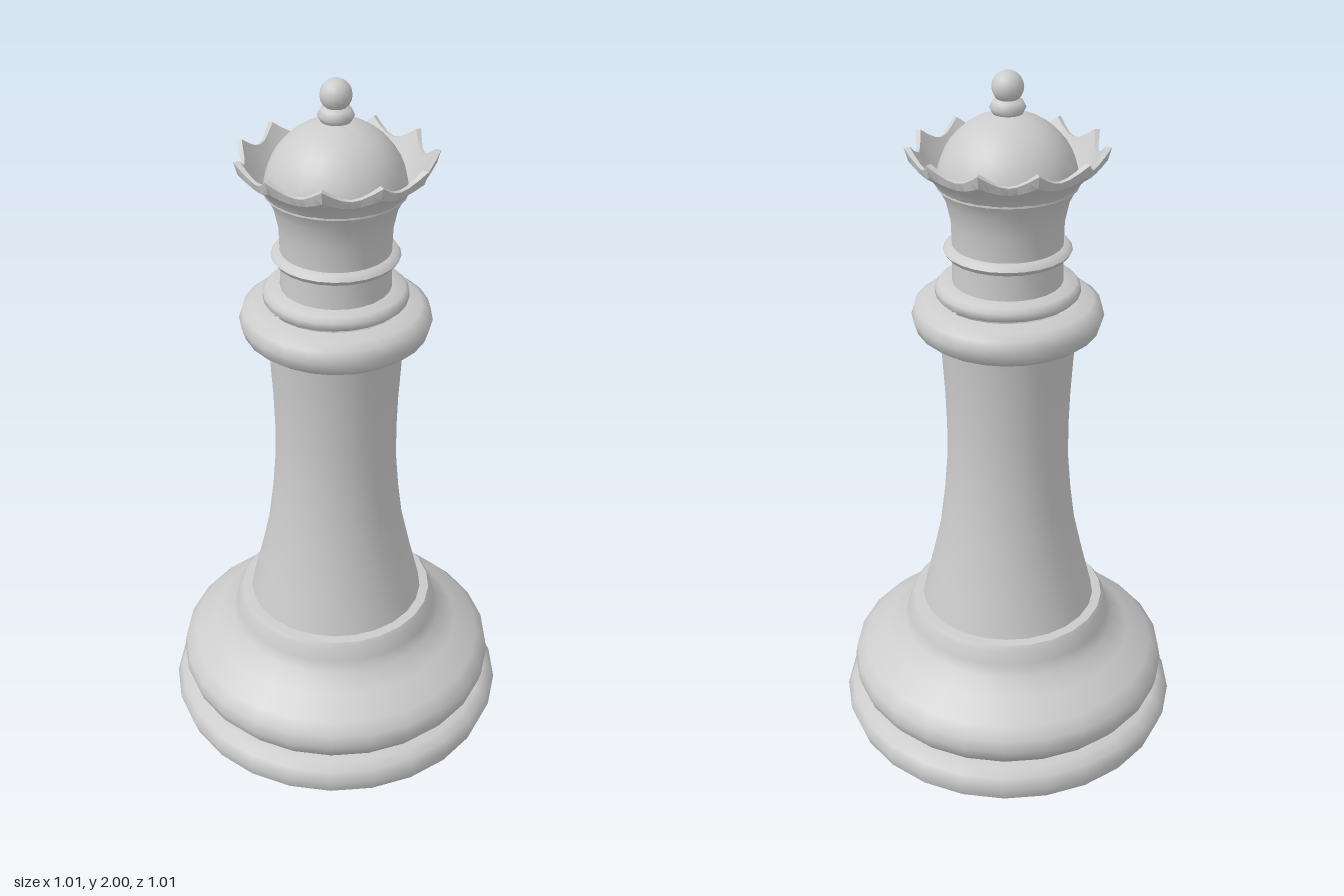
import * as THREE from 'three';
import { toCreasedNormals } from 'three/addons/utils/BufferGeometryUtils.js';

const SIDES = 25;
const material = new THREE.MeshStandardMaterial({ color: 0xcccccc, side: THREE.DoubleSide });

// Turned part: [radius, height] pairs from bottom to top
function turned(name, profile, crease = 0.65, sides = SIDES) {
  const points = profile.map(([r, y]) => new THREE.Vector2(r, y));
  const lathe = new THREE.LatheGeometry(points, sides, THREE.MathUtils.degToRad(94.3));
  const mesh = new THREE.Mesh(toCreasedNormals(lathe, crease), material);
  mesh.name = name;
  return mesh;
}

// Flared crown whose rim dips in rounded scallops between pointed tips
function crown(points = 11, steps = 6) {
  // [radius, height, radius drop, height drop] where the drops apply mid-scallop
  const rows = [
    [0.15, 1.53, 0, 0], [0.152, 1.6, 0, 0], [0.165, 1.66, 0, 0], [0.19, 1.71, 0, 0],
    [0.222, 1.745, 0.005, 0.005], [0.26, 1.775, 0.023, 0.022],
    [0.27, 1.81, 0.027, 0.036], [0.254, 1.812, 0.02, 0.036],
    [0.225, 1.76, 0.004, 0.01], [0.185, 1.7, 0, 0],
  ];
  const geometry = new THREE.LatheGeometry(
    rows.map(([r, y]) => new THREE.Vector2(r, y)), points * steps, Math.PI / 2);
  const pos = geometry.attributes.position;
  for (let i = 0; i < pos.count; i++) {
    const [r, y, dr, dy] = rows[i % rows.length];
    const angle = Math.atan2(pos.getZ(i), pos.getX(i));
    const dip = Math.abs(Math.sin(angle * points / 2));
    const radius = r - dr * dip;
    pos.setXYZ(i, radius * Math.cos(angle), y - dy * dip, radius * Math.sin(angle));
  }
  const mesh = new THREE.Mesh(toCreasedNormals(geometry, 0.7), material);
  mesh.name = 'crown';
  return mesh;
}

export function createModel() {
  const group = new THREE.Group();
  group.name = 'chessQueen';
  group.add(
    // Foot and bulging base
    turned('foot', [[0, 0], [0.49, 0], [0.505, 0.045], [0.49, 0.075], [0.465, 0.093], [0.42, 0.097]], 0.9),
    turned('base', [[0.42, 0.095], [0.445, 0.1], [0.468, 0.13], [0.476, 0.16], [0.47, 0.195],
      [0.44, 0.225], [0.37, 0.27], [0.318, 0.305], [0.305, 0.34], [0.295, 0.38], [0.285, 0.395], [0.25, 0.398]], 0.9),
    // Tapered column
    turned('column', [[0.26, 0.39], [0.228, 0.52], [0.2, 0.645], [0.184, 0.77], [0.175, 0.88],
      [0.174, 0.98], [0.177, 1.08], [0.184, 1.2], [0.193, 1.28]]),
    // Collar rings and neck
    turned('collar', [[0.18, 1.275], [0.235, 1.28], [0.254, 1.295], [0.265, 1.33], [0.256, 1.36],
      [0.235, 1.374], [0.19, 1.382]], 0.9),
    turned('lowerNeckRing', [[0.16, 1.38], [0.188, 1.385], [0.199, 1.395], [0.199, 1.412],
      [0.188, 1.424], [0.14, 1.43]], 0.9),
    turned('neck', [[0.152, 1.42], [0.15, 1.48], [0.15, 1.54]]),
    turned('upperNeckRing', [[0.145, 1.504], [0.166, 1.507], [0.175, 1.52], [0.166, 1.533], [0.145, 1.537]], 1.2),
    crown(),
    // Domed cap inside the crown
    turned('dome', Array.from({ length: 11 }, (_, i) => {
      const a = i / 10 * Math.PI / 2;
      return [0.19 * Math.cos(a), 1.7 + 0.192 * Math.sin(a)];
    })),
    // Finial
    turned('finialRing', [[0.025, 1.885], [0.04, 1.89], [0.048, 1.906], [0.04, 1.922], [0.025, 1.928]], 1.2, 16),
  );
  const ball = new THREE.Mesh(new THREE.SphereGeometry(0.042, 16, 10), material);
  ball.name = 'finialBall';
  ball.position.y = 1.958;
  group.add(ball);
  return group;
}
